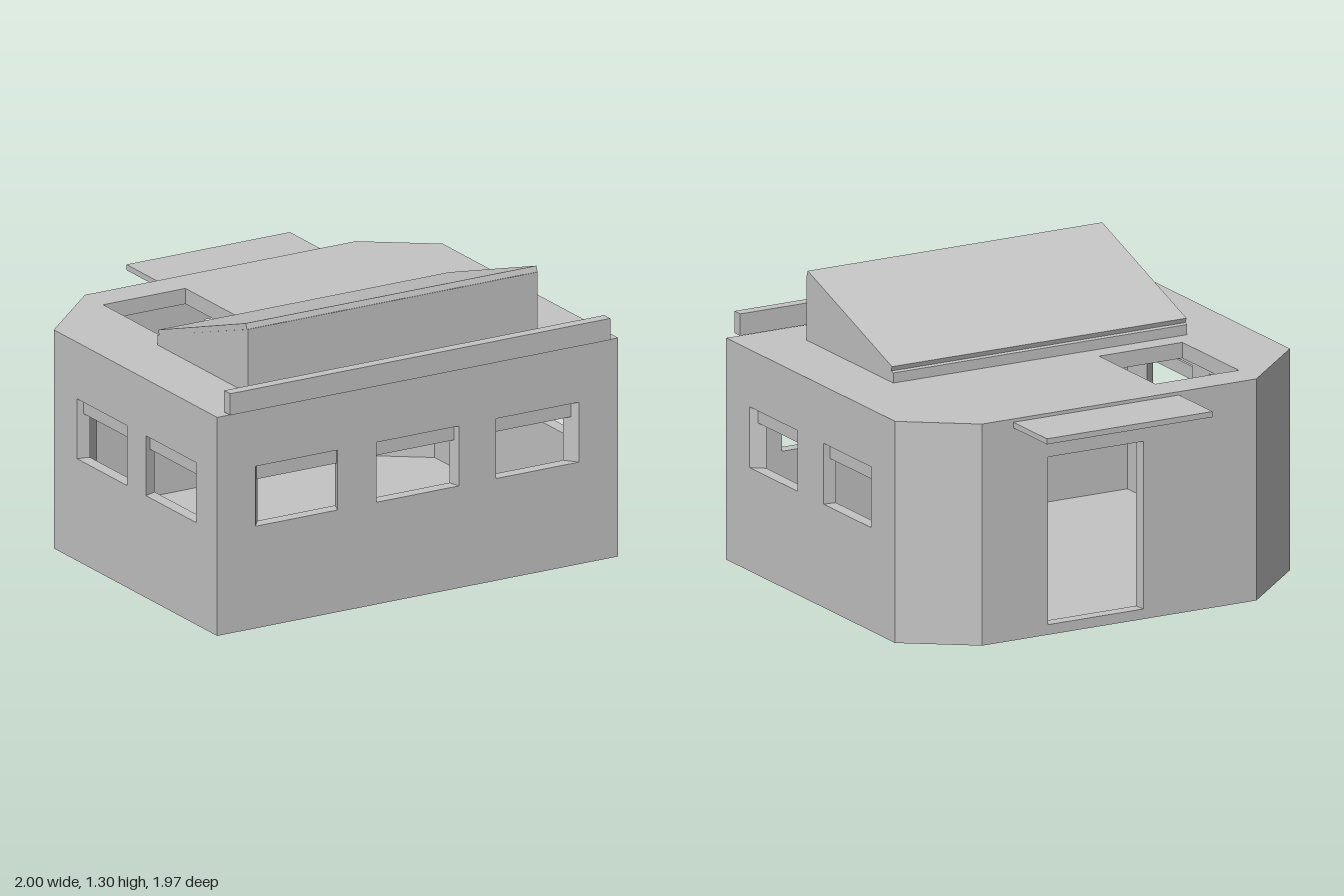
import * as THREE from 'three';

const T = 0.057;          // wall thickness
const FLOOR = 0.04, CEIL = 0.915, TOP = 0.985;

// footprint corners (x, z), running left to right as seen from outside
const corners = [[-1, 0.96], [1, 0.96], [1, -0.48], [0.7, -0.7], [-0.65, -0.7], [-1, -0.38]]
  .map(([x, z]) => new THREE.Vector2(x, z));

// footprint moved inwards by the wall thickness, with mitred corners
const inner = corners.map((p, i) => {
  const n = corners.length;
  const a = p.clone().sub(corners[(i + n - 1) % n]).normalize();
  const b = corners[(i + 1) % n].clone().sub(p).normalize();
  const na = new THREE.Vector2(a.y, -a.x), nb = new THREE.Vector2(b.y, -b.x);
  return p.clone().addScaledVector(na.clone().add(nb), T / (1 + na.dot(nb)));
});

function rect(Kind, x0, x1, y0, y1) {
  const s = new Kind();
  s.moveTo(x0, y0);
  s.lineTo(x1, y0);
  s.lineTo(x1, y1);
  s.lineTo(x0, y1);
  s.closePath();
  return s;
}

// panel along wall i: shape in (distance, height), placed between depths d0 and d1
// (0 = inner wall face, 1 = outer wall face)
function wallPanel(i, shape, d0, d1) {
  const j = (i + 1) % corners.length;
  const length = corners[i].distanceTo(corners[j]);
  const geo = new THREE.ExtrudeGeometry(shape, { depth: 1, bevelEnabled: false });
  const pos = geo.attributes.position;
  for (let k = 0; k < pos.count; k++) {
    const s = pos.getX(k) / length;
    const d = d0 + (d1 - d0) * pos.getZ(k);
    const p = inner[i].clone().lerp(inner[j], s).lerp(corners[i].clone().lerp(corners[j], s), d);
    pos.setXYZ(k, p.x, pos.getY(k), p.y);
  }
  geo.computeVertexNormals();
  return geo;
}

// horizontal slab over the whole footprint
function slab(y0, y1, hole) {
  const shape = new THREE.Shape(corners.map(p => new THREE.Vector2(p.x, -p.y)));
  if (hole) shape.holes.push(hole);
  const geo = new THREE.ExtrudeGeometry(shape, { depth: y1 - y0, bevelEnabled: false });
  return geo.rotateX(-Math.PI / 2).translate(0, y0, 0);
}

function box(x0, x1, y0, y1, z0, z1) {
  return new THREE.BoxGeometry(x1 - x0, y1 - y0, z1 - z0)
    .translate((x0 + x1) / 2, (y0 + y1) / 2, (z0 + z1) / 2);
}

// side profile of (z, y) points, extruded across x
function profile(points, x0, x1) {
  const shape = new THREE.Shape(points.map(([z, y]) => new THREE.Vector2(-z, y)));
  return new THREE.ExtrudeGeometry(shape, { depth: x1 - x0, bevelEnabled: false })
    .rotateY(Math.PI / 2).translate(x0, 0, 0);
}

export function createModel() {
  const model = new THREE.Group();
  model.name = 'building';
  const concrete = new THREE.MeshStandardMaterial({ name: 'concrete grey', color: 0xc4c4c4 });
  const add = (name, geo) => {
    const mesh = new THREE.Mesh(geo, concrete);
    mesh.name = name;
    model.add(mesh);
  };

  // walls with windows given as [start, end] distances
  const walls = [
    { name: 'frontWall', windows: [[0.19, 0.6], [0.795, 1.205], [1.39, 1.805]] },
    { name: 'leftWall', windows: [[0.2, 0.61], [0.83, 1.235]] },
    { name: 'leftChamferWall', windows: [] },
    { name: 'backWall', windows: [], door: [0.325, 0.795] },
    { name: 'rightChamferWall', windows: [] },
    { name: 'rightWall', windows: [[0.19, 0.6], [0.755, 1.165]] },
  ];
  walls.forEach(({ name, windows, door }, i) => {
    const length = corners[i].distanceTo(corners[(i + 1) % corners.length]);
    const shape = rect(THREE.Shape, 0, length, FLOOR, CEIL);
    if (door) shape.holes.push(rect(THREE.Path, door[0], door[1], 0.045, 0.79));
    for (const [a, b] of windows) {
      shape.holes.push(rect(THREE.Path, a, b, 0.46, 0.73));
      add('windowBar', wallPanel(i, rect(THREE.Shape, a, b, 0.66, 0.72), 0.15, 0.5));
    }
    add(name, wallPanel(i, shape, 0, 1));
  });

  // floor, and roof with an open skylight
  add('floor', slab(0, FLOOR));
  add('roof', slab(CEIL, TOP, rect(THREE.Path, -0.65, -0.24, 0.07, 0.55)));

  // raised roof room with a sloping cover
  add('roofRoom', profile([[0.76, 0.98], [0.02, 0.98], [0.02, 1.03], [0.76, 1.273]], -0.725, 0.72));
  add('slopingCover', profile([[0.755, 1.272], [0.035, 1.035], [0.028, 1.056], [0.746, 1.297]], -0.727, 0.722));

  // front parapet and door canopy
  add('parapet', box(-0.95, 0.945, 0.993, 1.09, 0.935, 0.985));
  add('doorCanopy', box(-0.27, 0.545, 0.945, 0.97, -0.985, -0.695));
  return model;
}
